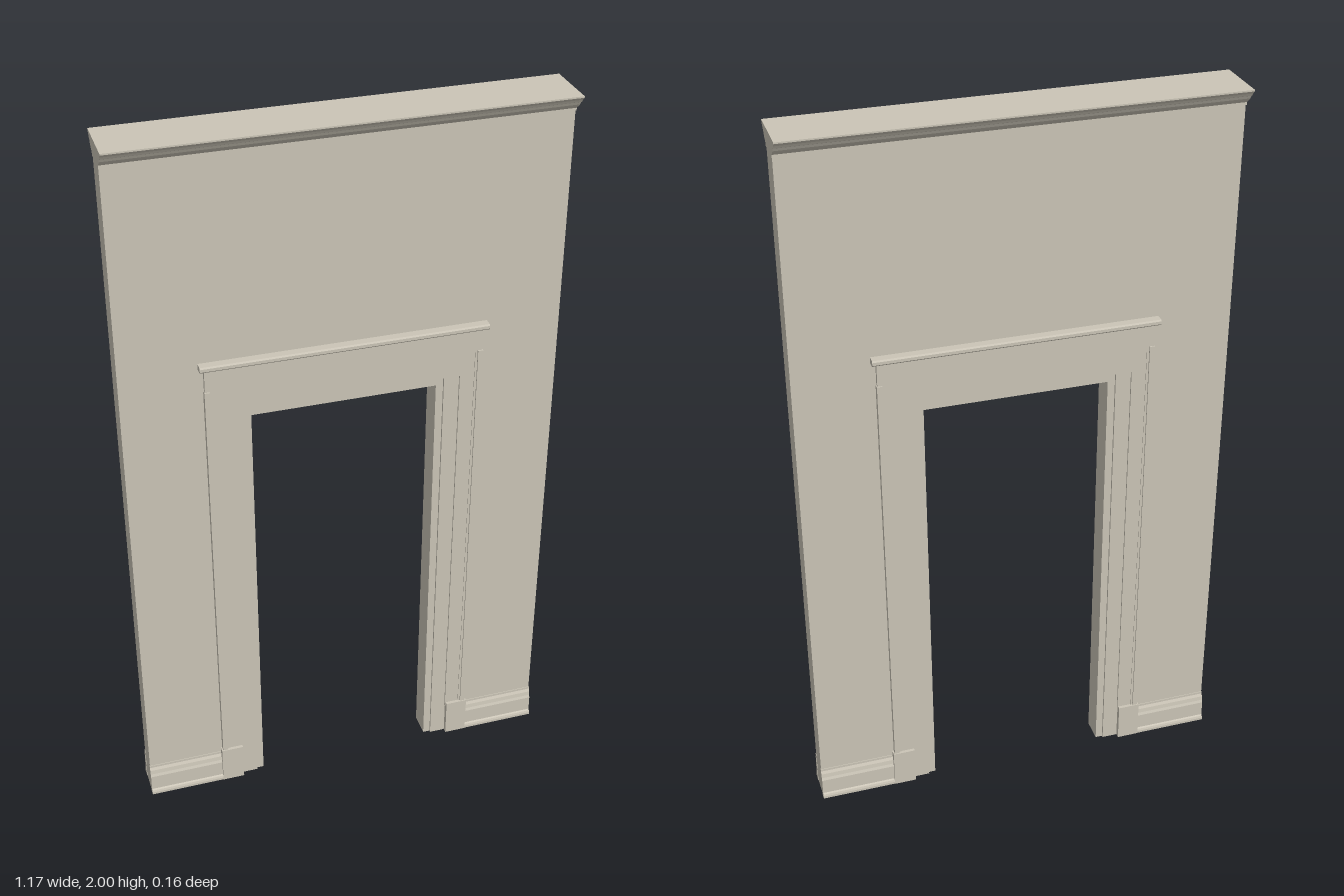
import * as THREE from 'three';

const W = 0.587;    // half width of the wall
const T = 0.035;    // half thickness of the wall

export function createModel() {
  const model = new THREE.Group();
  model.name = 'wallWithDoorway';
  const plaster = new THREE.MeshStandardMaterial({ color: 0xcbc5b7 });
  plaster.name = 'warm plaster';

  const add = (parent, geometry, name) => {
    const mesh = new THREE.Mesh(geometry, plaster);
    mesh.name = name;
    parent.add(mesh);
    return mesh;
  };
  const box = (parent, name, x0, x1, y0, y1, z0, z1) =>
    add(parent, new THREE.BoxGeometry(x1 - x0, y1 - y0, z1 - z0), name)
      .position.set((x0 + x1) / 2, (y0 + y1) / 2, (z0 + z1) / 2);
  // Sweep a [z, y] profile along x
  const molding = (parent, name, profile, x0, x1) => {
    const shape = new THREE.Shape(profile.map(([z, y]) => new THREE.Vector2(-z, y)));
    const g = new THREE.ExtrudeGeometry(shape, { depth: x1 - x0, bevelEnabled: false });
    g.rotateY(Math.PI / 2);
    add(parent, g, name).position.x = x0;
  };
  // Upside-down U around the doorway
  const arch = (name, outerX, outerY, innerX, innerY, halfDepth) => {
    const s = new THREE.Shape([
      [-outerX, 0], [-innerX, 0], [-innerX, innerY], [innerX, innerY],
      [innerX, 0], [outerX, 0], [outerX, outerY], [-outerX, outerY],
    ].map(([x, y]) => new THREE.Vector2(x, y)));
    const g = new THREE.ExtrudeGeometry(s, { depth: 2 * halfDepth, bevelEnabled: false });
    g.translate(0, 0, -halfDepth);
    add(model, g, name);
  };

  // Wall and the lining of the opening
  arch('wall', W - 0.001, 1.95, 0.27, 1.25, T);
  arch('doorLining', 0.27, 1.25, 0.25, 1.225, T - 0.002);

  // Crown on both faces
  const crownHalf = [
    [0.035, 1.949], [0.039, 1.949], [0.039, 1.956], [0.043, 1.960], [0.049, 1.964],
    [0.056, 1.971], [0.061, 1.979], [0.065, 1.981], [0.070, 1.988], [0.078, 1.996], [0.078, 2],
  ];
  const mirrored = crownHalf.map(([z, y]) => [-z, y]).reverse();
  molding(model, 'crownMolding', [...crownHalf, ...mirrored], -W, W);

  const baseProfile = [
    [0.03, 0], [0.052, 0], [0.052, 0.007], [0.050, 0.013], [0.046, 0.016], [0.046, 0.062],
    [0.043, 0.070], [0.041, 0.082], [0.037, 0.09], [0.037, 0.097], [0.03, 0.097],
  ];
  const capProfile = [
    [0.03, 1.384], [0.056, 1.384], [0.060, 1.388], [0.060, 1.396], [0.057, 1.4], [0.03, 1.4],
  ];

  // Trim, the same on the front and the back
  for (const side of ['front', 'back']) {
    const face = new THREE.Group();
    face.name = side + 'Trim';
    if (side === 'back') face.rotation.y = Math.PI;
    model.add(face);

    box(face, 'header', -0.37, 0.37, 1.315, 1.385, 0.03, 0.046);
    box(face, 'headCasing', -0.352, 0.352, 1.25, 1.315, 0.03, 0.044);
    molding(face, 'headerCap', capProfile, -0.383, 0.383);

    for (const s of [-1, 1]) {
      const part = (name, a, b, y0, y1, z) =>
        box(face, name, Math.min(s * a, s * b), Math.max(s * a, s * b), y0, y1, 0.03, z);
      part('innerCasing', 0.27, 0.315, 0, 1.25, 0.039);
      part('sideCasing', 0.312, 0.352, 0.1, 1.25, 0.044);
      part('casingBead', 0.352, 0.358, 0.1, 1.315, 0.046);
      part('backband', 0.358, 0.372, 0.1, 1.32, 0.05);
      part('plinthBlock', 0.314, 0.376, 0, 0.112, 0.053);
      molding(face, 'baseboard', baseProfile, s > 0 ? 0.37 : -W, s > 0 ? W : -0.37);
    }
  }
  return model;
}
